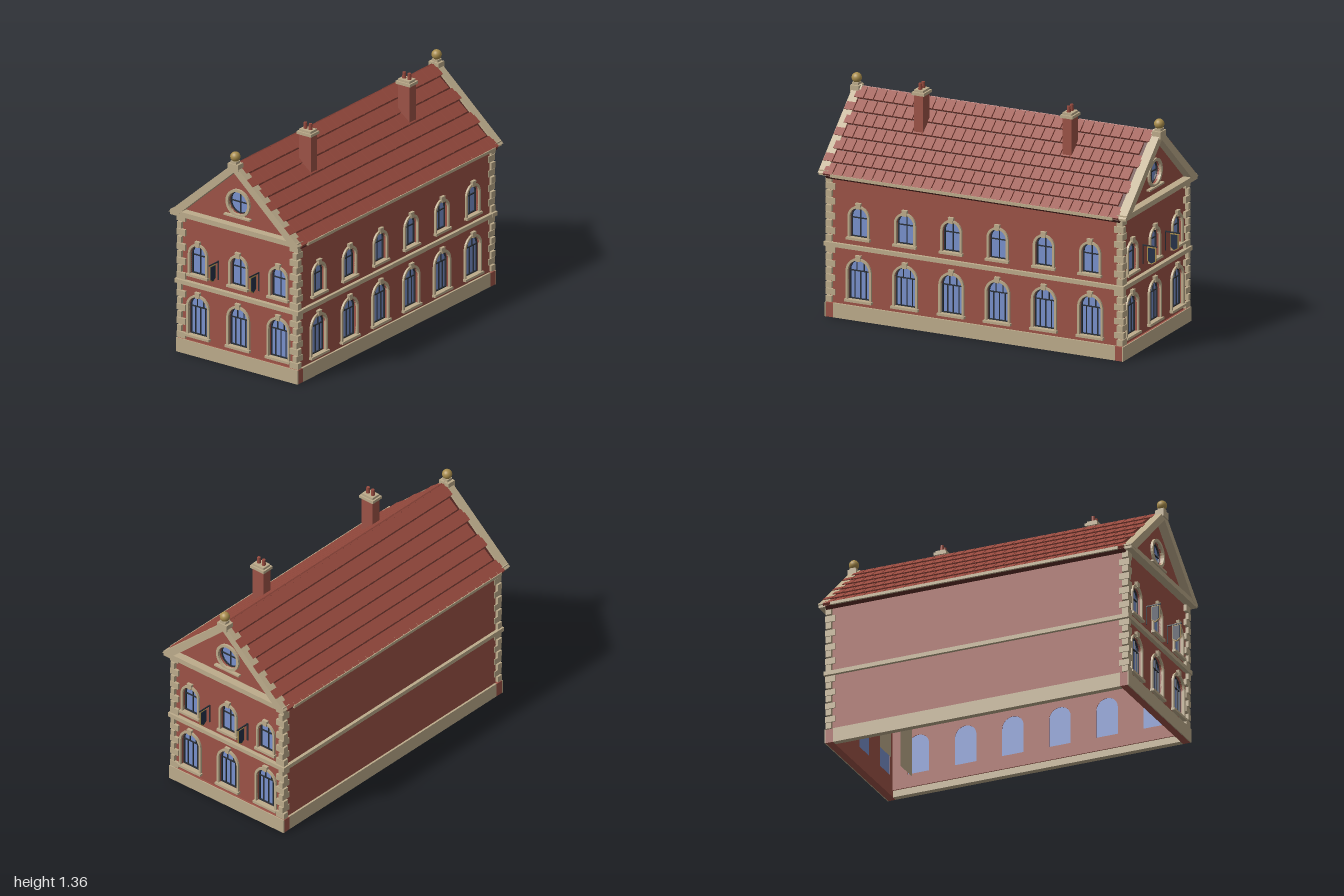
import * as THREE from 'three';
import { mergeGeometries } from 'three/addons/utils/BufferGeometryUtils.js';

const mat = (name, color, side = THREE.FrontSide) => {
  const m = new THREE.MeshStandardMaterial({ color, side });
  m.name = name;
  return m;
};

export function createModel() {
  const brick = mat('brick red', 0x9c5246);
  const stone = mat('pale stone', 0xbcab8b);
  const tile = mat('roof tile', 0x974a3e);
  const gap = mat('tile gap', 0x5a2b25);
  const glass = mat('window glass', 0x7890cc);
  const iron = mat('dark iron', 0x2a3038);
  const gold = mat('dull gold', 0xa98d4c);
  const navy = mat('sign navy', 0x243148);

  // Helpers: mesh, box from min/max corners, extruded shape
  const add = (parent, name, geo, material) => {
    const m = new THREE.Mesh(geo, material);
    m.name = name;
    parent.add(m);
    return m;
  };
  const span = (x0, x1, y0, y1, z0, z1) =>
    new THREE.BoxGeometry(x1 - x0, y1 - y0, z1 - z0).translate((x0 + x1) / 2, (y0 + y1) / 2, (z0 + z1) / 2);
  const slab = (shape, z0, z1) =>
    new THREE.ExtrudeGeometry(shape, { depth: z1 - z0, bevelEnabled: false, curveSegments: 14 }).translate(0, 0, z0);
  const poly = (pts) => new THREE.Shape(pts.map(([x, y]) => new THREE.Vector2(x, y)));
  const group = (parent, name) => {
    const g = new THREE.Group();
    g.name = name;
    parent.add(g);
    return g;
  };

  // Round-headed outline, and a full circle
  const arch = (cx, hw, y0, top) => {
    const s = new THREE.Shape();
    s.moveTo(cx - hw, y0);
    s.lineTo(cx + hw, y0);
    s.lineTo(cx + hw, top - hw);
    s.absarc(cx, top - hw, hw, 0, Math.PI, false);
    s.closePath();
    return s;
  };
  const circle = (y, r) => new THREE.Shape().absarc(0, y, r, 0, Math.PI * 2, false);
  const ring = (outer, inner) => {
    outer.holes.push(inner);
    return outer;
  };

  const LOWER = { hw: 0.066, y0: 0.12, top: 0.352, transom: 0.285, low: [-0.035, 0, 0.035], high: [-0.022, 0.022] };
  const UPPER = { hw: 0.054, y0: 0.484, top: 0.658, transom: 0.595, low: [0], high: [0] };

  // Arched window; the wall face lies at z = 0
  function archWindow(parent, cx, w) {
    const g = group(parent, 'archedWindow');
    g.position.x = cx;
    const { hw, y0, top } = w;
    add(g, 'glass', slab(arch(0, hw, y0, top), -0.027, -0.021), glass);
    add(g, 'sash', slab(ring(arch(0, hw, y0, top), arch(0, hw - 0.006, y0 + 0.006, top - 0.006)), -0.021, -0.012), iron);
    add(g, 'surround', slab(ring(arch(0, hw + 0.013, y0 - 0.005, top + 0.013), arch(0, hw, y0, top)), -0.006, 0.012), stone);
    const bars = [span(-hw, hw, w.transom - 0.003, w.transom + 0.003, -0.021, -0.014)];
    for (const x of w.low) bars.push(span(x - 0.0025, x + 0.0025, y0, w.transom, -0.021, -0.015));
    for (const x of w.high) bars.push(span(x - 0.0025, x + 0.0025, w.transom, top - 0.007, -0.021, -0.015));
    add(g, 'glazingBars', mergeGeometries(bars), iron);
    const k = poly([[-0.012, top - 0.004], [0.012, top - 0.004], [0.017, top + 0.03], [-0.017, top + 0.03]]);
    add(g, 'keystone', slab(k, 0, 0.018), stone);
    add(g, 'sill', span(-hw - 0.019, hw + 0.019, y0 - 0.013, y0 + 0.001, -0.01, 0.022), stone);
  }

  // Wall with window openings, 0.03 thick behind z = 0
  function wall(parent, outline, xs, extraHole) {
    for (const x of xs) for (const w of [LOWER, UPPER]) outline.holes.push(arch(x, w.hw, w.y0, w.top));
    if (extraHole) outline.holes.push(extraHole);
    add(parent, 'brickWall', slab(outline, -0.03, 0), brick);
    for (const x of xs) for (const w of [LOWER, UPPER]) archWindow(parent, x, w);
  }

  // Hanging sign on a bracket
  function sign(parent, x) {
    const g = group(parent, 'hangingSign');
    g.position.x = x;
    const plate = (i) => poly([[-0.994 + i, 0.595 - i], [-0.994 + i, 0.512 + i * 0.6], [-0.967, 0.494 + i * 1.2],
      [-0.94 - i, 0.512 + i * 0.6], [-0.94 - i, 0.595 - i]].reverse());
    add(g, 'signBorder', slab(plate(0), -0.003, 0.003).rotateY(Math.PI / 2), gold);
    add(g, 'signFace', slab(plate(0.005), -0.0045, 0.0045).rotateY(Math.PI / 2), navy);
    add(g, 'bracket', span(-0.003, 0.003, 0.597, 0.604, 0.905, 1), iron);
    add(g, 'bracketFoot', span(-0.004, 0.004, 0.49, 0.604, 0.908, 0.914), iron);
  }

  // One gable end, facing +z
  function gableEnd(parent, name) {
    const end = group(parent, name);
    const face = group(end, 'gableFace');
    face.position.z = 0.91;
    const outline = poly([[-0.4, 0.04], [0.4, 0.04], [0.4, 0.845], [0, 1.2], [-0.4, 0.845]]);
    wall(face, outline, [-0.278, 0, 0.278], circle(0.985, 0.067));

    // Round attic window
    const round = group(face, 'roundWindow');
    add(round, 'glass', slab(circle(0.985, 0.067), -0.027, -0.021), glass);
    add(round, 'sash', slab(ring(circle(0.985, 0.068), circle(0.985, 0.062)), -0.021, -0.012), iron);
    add(round, 'surround', slab(ring(circle(0.985, 0.083), circle(0.985, 0.067)), -0.006, 0.014), stone);
    add(round, 'glazingBars', mergeGeometries([
      span(-0.066, 0.066, 0.982, 0.988, -0.021, -0.014), span(-0.003, 0.003, 0.919, 1.051, -0.021, -0.015)]), iron);
    add(round, 'sill', span(-0.09, 0.09, 0.899, 0.909, -0.005, 0.022), stone);

    // Plinth, belt, cornice and raking trim
    add(end, 'plinthCore', span(-0.42, 0.42, 0, 0.082, 0.88, 0.924), brick);
    add(end, 'plinthFace', span(-0.422, 0.422, 0, 0.084, 0.924, 0.93), stone);
    add(end, 'beltCourse', span(-0.428, 0.428, 0.414, 0.438, 0.89, 0.935), stone);
    add(end, 'cornice', span(-0.44, 0.44, 0.828, 0.858, 0.9, 0.958), stone);
    add(end, 'rakingTrim', slab(poly([[-0.45, 0.843], [-0.382, 0.843], [0, 1.182], [0.382, 0.843],
      [0.45, 0.843], [0, 1.238]]), 0.905, 0.96), stone);

    // Finial
    add(end, 'finialBlock', span(-0.035, 0.035, 1.195, 1.235, 0.915, 0.968), stone);
    add(end, 'finialCap', span(-0.02, 0.02, 1.235, 1.25, 0.925, 0.962), stone);
    add(end, 'finialBall', new THREE.SphereGeometry(0.029, 20, 14).translate(0, 1.274, 0.943), gold);

    // Alternating corner stones
    const stones = [];
    for (const [from, to, n] of [[0.084, 0.414, 8], [0.438, 0.828, 9]]) {
      const h = (to - from) / n;
      for (let i = 0; i < n; i++) {
        const wide = i % 2 === 0, o = wide ? 0.42 : 0.414, zo = wide ? 0.926 : 0.93;
        const x0 = wide ? 0.362 : 0.385, z0 = wide ? 0.89 : 0.87, y = from + i * h;
        stones.push(span(x0, o, y + 0.003, y + h - 0.003, z0, zo), span(-o, -x0, y + 0.003, y + h - 0.003, z0, zo));
      }
    }
    add(end, 'cornerStones', mergeGeometries(stones), stone);
    for (const x of [-0.14, 0.14]) sign(end, x);

    // Blinds standing behind the windows, facing inwards
    for (const x of [-0.278, 0, 0.278]) for (const [y, h] of [[0.235, 0.29], [0.57, 0.22]])
      add(end, 'blind', new THREE.PlaneGeometry(0.15, h).rotateY(Math.PI).translate(x, y, 0.75), stone);
    return end;
  }

  const house = new THREE.Group();
  house.name = 'townHouse';
  gableEnd(house, 'frontGable');
  gableEnd(house, 'backGable').rotation.y = Math.PI;

  // Long sides: windows on the +x side only
  for (const s of [1, -1]) {
    const side = group(house, s > 0 ? 'windowedSide' : 'blankSide');
    side.rotation.y = s * Math.PI / 2;
    const face = group(side, 'sideFace');
    face.position.z = 0.408;
    const xs = s > 0 ? [-0.722, -0.433, -0.144, 0.144, 0.433, 0.722] : [];
    wall(face, poly([[-0.885, 0.04], [0.885, 0.04], [0.885, 0.845], [-0.885, 0.845]]), xs);
    add(side, 'plinth', span(-0.88, 0.88, 0, 0.084, 0.385, 0.42), stone);
    add(side, 'beltCourse', span(-0.9, 0.9, 0.414, 0.438, 0.39, 0.427), stone);
    add(side, 'eavesBand', span(-0.9, 0.9, 0.828, 0.85, 0.39, 0.44), stone);
    add(side, 'gutter', span(-0.88, 0.88, 0.828, 0.845, 0.438, 0.458), stone);
  }

  // Roof slopes with staggered tiles
  const ANGLE = Math.atan2(0.395, 0.45), LEN = 0.6, ROWS = 7, PITCH = LEN / ROWS, STEP = 0.0615;
  for (const s of [1, -1]) {
    const turn = group(house, s > 0 ? 'rightSlope' : 'leftSlope');
    if (s < 0) turn.rotation.y = Math.PI;
    const slope = group(turn, 'slope');
    slope.position.y = 1.23;
    slope.rotation.z = -ANGLE;
    add(slope, 'roofDeck', span(0, LEN, -0.03, -0.006, -0.915, 0.915), gap);
    const tiles = [];
    for (let r = 0; r < ROWS; r++) {
      const shift = (r % 2) * STEP / 2;
      for (let i = 0; i < 30; i++) {
        const z = -0.915 + (i + 0.5) * STEP + shift;
        tiles.push(new THREE.BoxGeometry(PITCH - 0.007, 0.014, STEP - 0.006).rotateZ(0.07)
          .translate((r + 0.5) * PITCH, 0, z));
      }
    }
    add(slope, 'roofTiles', mergeGeometries(tiles), tile);
  }

  // Chimneys
  for (const z of [0.463, -0.463]) {
    const c = group(house, 'chimney');
    c.position.set(0.148, 0, z);
    add(c, 'shaft', span(-0.041, 0.041, 1.03, 1.292, -0.029, 0.029), brick);
    add(c, 'cap', span(-0.05, 0.05, 1.29, 1.307, -0.038, 0.038), stone);
    add(c, 'capTop', span(-0.04, 0.04, 1.307, 1.32, -0.029, 0.029), stone);
    for (const x of [-0.018, 0.018])
      add(c, 'pot', new THREE.CylinderGeometry(0.01, 0.012, 0.04, 12).translate(x, 1.336, 0), tile);
  }
  return house;
}
